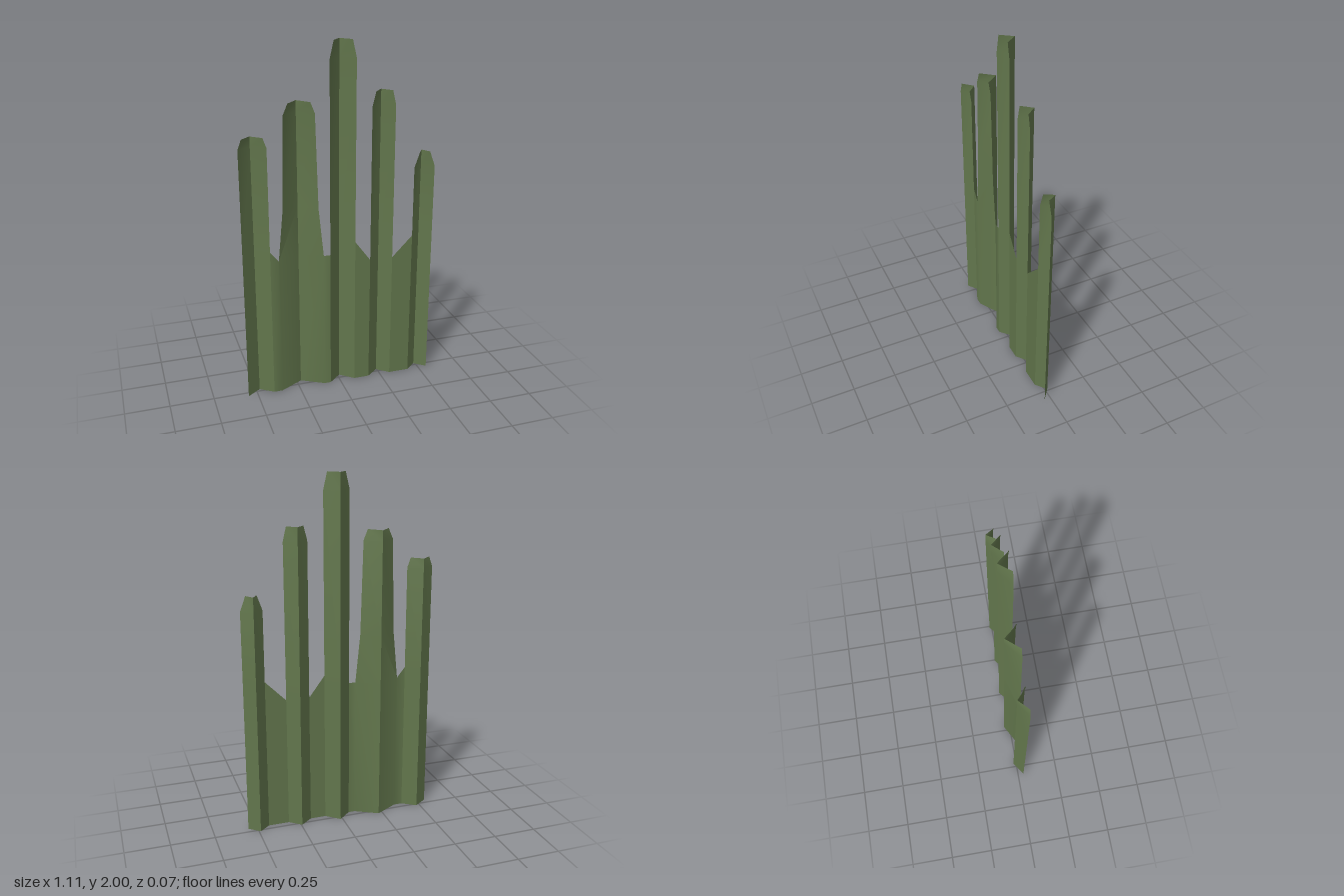
import * as THREE from 'three';
import { toCreasedNormals } from 'three/addons/utils/BufferGeometryUtils.js';

const RIM = 0.035; // z of the blade edges and the webs

// Each blade: fold line (x, z) and rows [y, leftX, rightX] from bottom to tip
const BLADES = [
  { fold: [-0.48, -0.018], rows: [[0, -0.555, -0.403], [0.88, -0.555, -0.403], [1.465, -0.555, -0.403], [1.52, -0.535, -0.423]] },
  { fold: [-0.225, -0.037], rows: [[0, -0.355, -0.098], [0.82, -0.355, -0.098], [1.1, -0.328, -0.126], [1.63, -0.313, -0.141], [1.69, -0.287, -0.165]] },
  { fold: [0.012, -0.029], rows: [[0, -0.06, 0.087], [0.85, -0.06, 0.087], [1.905, -0.06, 0.087], [2, -0.038, 0.065]] },
  { fold: [0.245, -0.02], rows: [[0, 0.177, 0.311], [0.76, 0.177, 0.311], [1.645, 0.177, 0.311], [1.725, 0.197, 0.292]] },
  { fold: [0.49, -0.015], rows: [[0, 0.43, 0.552], [0.88, 0.43, 0.552], [1.285, 0.43, 0.552], [1.37, 0.46, 0.521]] },
];

// Top heights of the flat webs between neighbouring blades: [left, right]
const WEBS = [[0.88, 0.82], [0.82, 0.82], [0.88, 0.76], [0.76, 0.88]];

export function createModel() {
  const green = new THREE.MeshStandardMaterial({ color: 0x62764c, side: THREE.DoubleSide });
  green.name = 'leafGreen';

  const positions = [];
  // Corners run counter-clockwise as seen from the front
  const quad = (a, b, c, d) => positions.push(...a, ...b, ...c, ...a, ...c, ...d);

  // Blades: two panels meeting at a fold that points backwards
  for (const { fold: [fx, fz], rows } of BLADES) {
    for (let i = 0; i < rows.length - 1; i++) {
      const [y0, l0, r0] = rows[i];
      const [y1, l1, r1] = rows[i + 1];
      const low = [fx, y0, fz], high = [fx, y1, fz];
      quad([l0, y0, RIM], low, high, [l1, y1, RIM]);
      quad(low, [r0, y0, RIM], [r1, y1, RIM], high);
    }
  }

  // Webs joining the blades in their lower part
  WEBS.forEach(([yl, yr], i) => {
    const xl = BLADES[i].rows[0][2], xr = BLADES[i + 1].rows[0][1];
    quad([xl, 0, RIM], [xr, 0, RIM], [xr, yr, RIM], [xl, yl, RIM]);
  });

  const geometry = new THREE.BufferGeometry();
  geometry.setAttribute('position', new THREE.Float32BufferAttribute(positions, 3));
  geometry.computeVertexNormals();

  // Sharp folds, with a soft join only on the wide shallow blade
  const sheet = new THREE.Mesh(toCreasedNormals(geometry, THREE.MathUtils.degToRad(30)), green);
  sheet.name = 'foldedLeafSheet';

  const group = new THREE.Group();
  group.name = 'leafBlades';
  group.add(sheet);
  return group;
}
